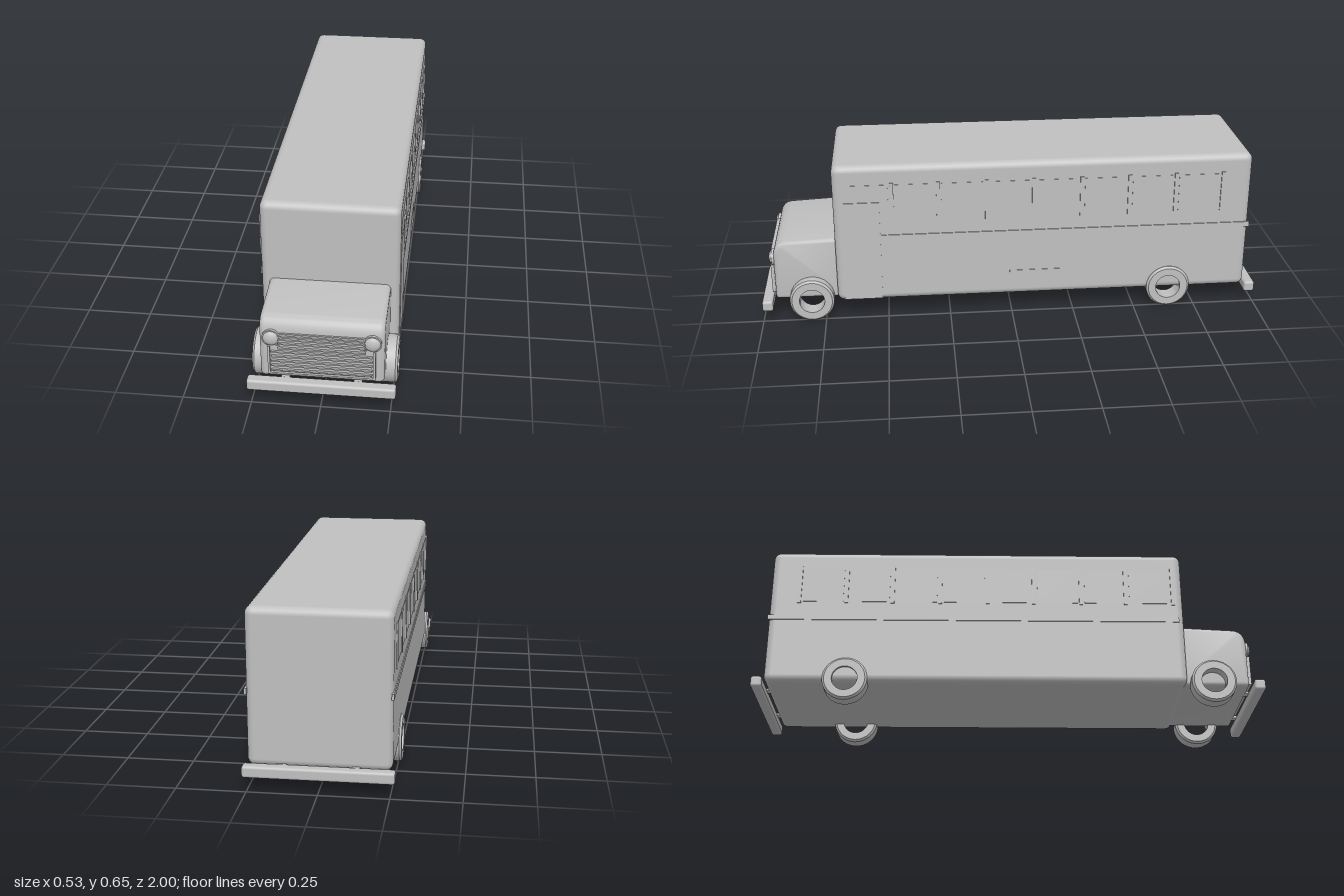
import * as THREE from 'three';
import { toCreasedNormals } from 'three/addons/utils/BufferGeometryUtils.js';
import { RoundedBoxGeometry } from 'three/addons/geometries/RoundedBoxGeometry.js';

export function createModel() {
  const bus = new THREE.Group();
  bus.name = 'bus';
  const grey = new THREE.MeshStandardMaterial({ color: 0xc0c0c0 });
  grey.name = 'light grey';

  const add = (name, geometry, x = 0, y = 0, z = 0) => {
    const mesh = new THREE.Mesh(geometry, grey);
    mesh.name = name;
    mesh.position.set(x, y, z);
    bus.add(mesh);
    return mesh;
  };
  // Boxes given by their limits along each axis
  const block = (name, x0, x1, y0, y1, z0, z1, radius = 0) => {
    const size = [x1 - x0, y1 - y0, z1 - z0];
    const geometry = radius
      ? new RoundedBoxGeometry(...size, 4, radius)
      : new THREE.BoxGeometry(...size);
    return add(name, geometry, (x0 + x1) / 2, (y0 + y1) / 2, (z0 + z1) / 2);
  };

  // Passenger body
  block('body', -0.255, 0.255, 0.08, 0.655, -0.955, 0.7, 0.028);

  // Hood: side profile (z, y) extruded across the width
  const profile = new THREE.Shape();
  profile.moveTo(0.66, 0.085);
  profile.lineTo(0.935, 0.085);
  profile.quadraticCurveTo(0.947, 0.085, 0.947, 0.1);
  profile.lineTo(0.947, 0.27);
  profile.quadraticCurveTo(0.945, 0.325, 0.9, 0.331);
  profile.lineTo(0.66, 0.343);
  profile.closePath();
  const bevel = 0.018;
  const width = 0.446;
  const hood = new THREE.ExtrudeGeometry(profile, {
    depth: width - 2 * bevel, curveSegments: 8,
    bevelSize: bevel, bevelOffset: -bevel, bevelThickness: bevel, bevelSegments: 4,
  });
  hood.translate(0, 0, -width / 2 + bevel);
  hood.rotateY(-Math.PI / 2);
  add('hood', toCreasedNormals(hood, 0.6));

  // Grille panel with frame and slats
  block('grillePanel', -0.19, 0.19, 0.107, 0.225, 0.935, 0.953);
  block('grilleTopPanel', -0.15, 0.15, 0.22, 0.275, 0.935, 0.953);
  block('grilleFrameBottom', -0.192, 0.192, 0.105, 0.112, 0.94, 0.962);
  for (const s of [-1, 1]) {
    block('grilleFrameSide', s * 0.188 - 0.004, s * 0.188 + 0.004, 0.105, 0.225, 0.94, 0.962);
  }
  for (let i = 0; i < 5; i++) {
    const y = 0.122 + i * 0.0195;
    block('grilleSlat', -0.18, 0.18, y - 0.003, y + 0.003, 0.945, 0.961);
  }
  for (const y of [0.217, 0.236, 0.254, 0.27]) {
    block('upperGrilleSlat', -0.155, 0.155, y - 0.003, y + 0.003, 0.945, 0.961);
  }

  // Headlights
  for (const s of [-1, 1]) {
    const lamp = add('headlight', new THREE.SphereGeometry(0.03, 24, 16), s * 0.18, 0.255, 0.95);
    lamp.scale.z = 0.6;
    const rim = new THREE.CylinderGeometry(0.033, 0.033, 0.03, 32);
    rim.rotateX(Math.PI / 2);
    add('headlightRim', rim, s * 0.18, 0.255, 0.94);
  }

  // Bumpers
  block('frontBumper', -0.267, 0.267, 0.053, 0.097, 0.957, 1, 0.01);
  block('rearBumper', -0.267, 0.267, 0.053, 0.097, -1, -0.957, 0.01);
  // Short brackets hidden behind the bumpers
  for (const s of [-1, 1]) {
    block('frontBumperBracket', s * 0.13 - 0.015, s * 0.13 + 0.015, 0.085, 0.095, 0.92, 0.965);
    block('rearBumperBracket', s * 0.13 - 0.015, s * 0.13 + 0.015, 0.085, 0.095, -0.965, -0.92);
  }

  // Open ring wheels
  const ring = [
    [0.05, -0.034], [0.08, -0.034], [0.088, -0.026], [0.088, 0.026],
    [0.08, 0.034], [0.05, 0.034], [0.05, -0.034],
  ].map(([r, h]) => new THREE.Vector2(r, h));
  const wheel = toCreasedNormals(new THREE.LatheGeometry(ring, 40), 0.6);
  wheel.rotateZ(Math.PI / 2);
  for (const z of [0.802, -0.638]) {
    add('leftWheel', wheel, 0.231, 0.091, z);
    add('rightWheel', wheel, -0.231, 0.091, z);
  }

  // Window posts and panes, slightly proud of each side
  const posts = [-0.838, -0.65, -0.465, -0.275, -0.085, 0.1, 0.29, 0.47, 0.66];
  for (const s of [-1, 1]) {
    const plate = (name, out, y0, y1, z0, z1) =>
      block(name, Math.min(s * 0.25, s * out), Math.max(s * 0.25, s * out), y0, y1, z0, z1);
    posts.forEach((z, i) => {
      const overDoor = s > 0 && i === posts.length - 1;
      if (!overDoor) plate('windowPost', 0.26, 0.42, 0.585, z - 0.007, z + 0.007);
      if (i > 0) {
        plate('windowPane', 0.2565, overDoor ? 0.507 : 0.427, 0.577,
          posts[i - 1] + 0.015, z - 0.012);
      }
    });
    plate('beltRail', 0.259, 0.345, 0.366, -0.957, s > 0 ? 0.515 : 0.68);
  }

  // Entry door and service hatch on the left side
  block('door', 0.25, 0.2585, 0.09, 0.505, 0.52, 0.672);
  block('serviceHatch', 0.25, 0.257, 0.108, 0.19, -0.195, 0.01);

  return bus;
}
